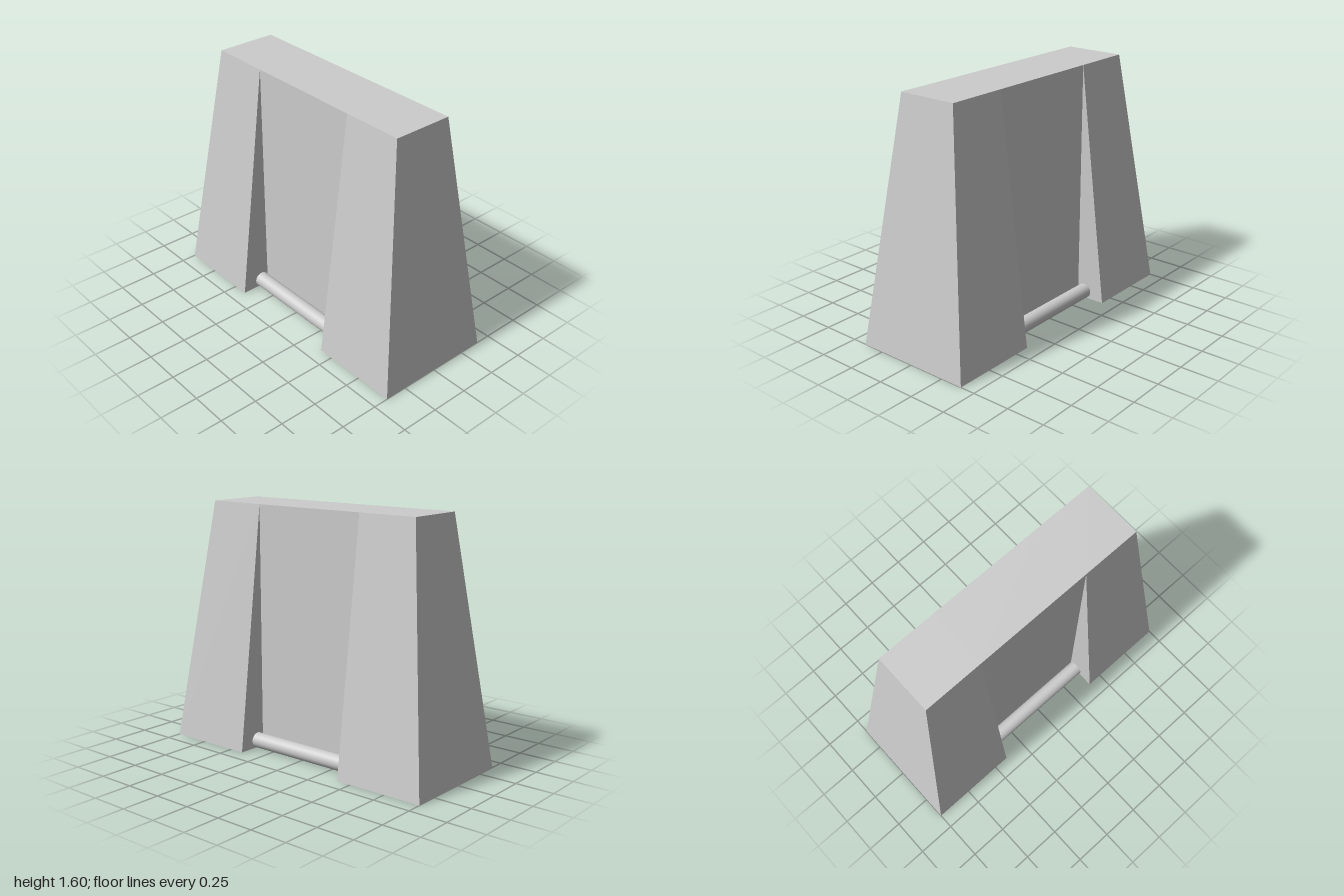
import * as THREE from 'three';

const H = 1.6;

// Tapered pillar: inner face vertical at |x| = 0.4, the other three sides lean inward
function pillarGeometry(side) {
  const geo = new THREE.BoxGeometry(0.6, H, 0.8);
  geo.translate(side * 0.7, H / 2, 0);
  const p = geo.attributes.position;
  for (let i = 0; i < p.count; i++) {
    if (p.getY(i) < H / 2) continue;
    if (Math.abs(p.getX(i)) > 0.9) p.setX(i, side * 0.8);
    p.setZ(i, p.getZ(i) * 0.5);
  }
  geo.computeVertexNormals();
  return geo;
}

export function createModel() {
  const group = new THREE.Group();
  const grey = new THREE.MeshStandardMaterial({ color: 0xcccccc });
  const add = (name, geo) => {
    const mesh = new THREE.Mesh(geo, grey);
    mesh.name = name;
    group.add(mesh);
    return mesh;
  };

  // Upright panel between the pillars
  add('centrePanel', new THREE.BoxGeometry(0.8, H, 0.4)).position.y = H / 2;

  // Side pillars
  add('leftPillar', pillarGeometry(1));
  add('rightPillar', pillarGeometry(-1));

  // Round rails along the foot of the panel, front and back
  for (const [name, z] of [['frontRail', 0.25], ['backRail', -0.25]]) {
    const rail = new THREE.CylinderGeometry(0.05, 0.05, 0.8, 32);
    rail.rotateZ(Math.PI / 2);
    add(name, rail).position.set(0, 0.05, z);
  }
  return group;
}
